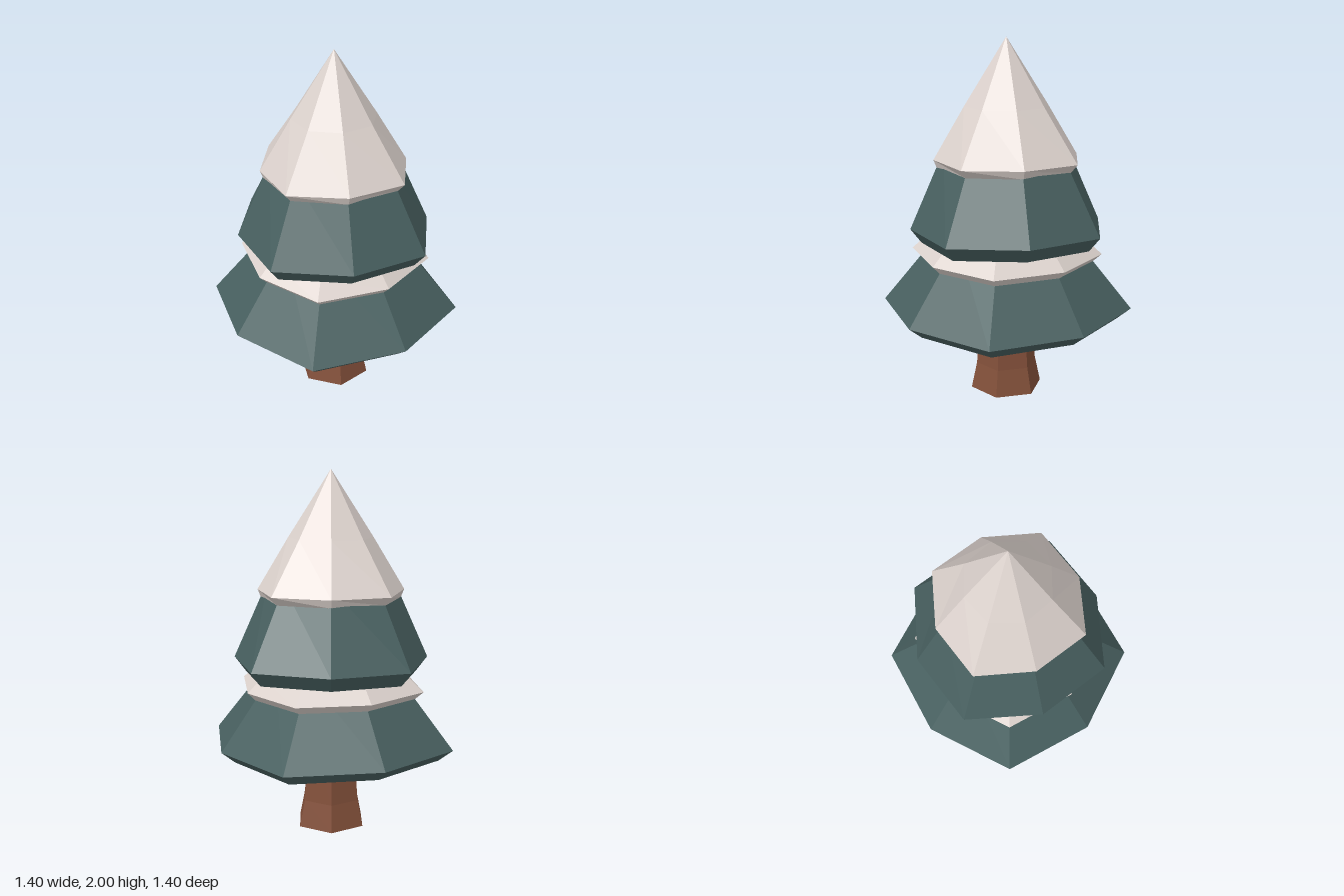
import * as THREE from 'three';

// Faceted solid from rings [y, radius, ratio of every second corner], bottom to top, closed at both ends.
function ringSolid(rings, sides, turnDegrees) {
  const turn = THREE.MathUtils.degToRad(turnDegrees);
  const corner = ([y, radius, ratio = 1], i) => {
    const a = turn + (i / sides) * Math.PI * 2;
    const r = (i % sides) % 2 ? radius * ratio : radius;
    return [r * Math.sin(a), y, r * Math.cos(a)];
  };
  const first = rings[0];
  const last = rings[rings.length - 1];
  const pos = [];
  for (let i = 0; i < sides; i++) {
    pos.push(0, first[0], 0, ...corner(first, i + 1), ...corner(first, i));
    for (let k = 0; k < rings.length - 1; k++) {
      const a = corner(rings[k], i);
      const b = corner(rings[k], i + 1);
      const c = corner(rings[k + 1], i + 1);
      const d = corner(rings[k + 1], i);
      pos.push(...a, ...b, ...d);
      if (rings[k + 1][1] > 0) pos.push(...b, ...c, ...d);
    }
    if (last[1] > 0) pos.push(0, last[0], 0, ...corner(last, i), ...corner(last, i + 1));
  }
  const geometry = new THREE.BufferGeometry();
  geometry.setAttribute('position', new THREE.Float32BufferAttribute(pos, 3));
  geometry.computeVertexNormals();
  return geometry;
}

function flatMaterial(name, color) {
  const material = new THREE.MeshStandardMaterial({ color, flatShading: true });
  material.name = name;
  return material;
}

export function createModel() {
  const tree = new THREE.Group();
  tree.name = 'snowyPineTree';

  const bark = flatMaterial('bark brown', 0x83503a);
  const needles = flatMaterial('needle green', 0x486060);
  const snow = flatMaterial('snow', 0xdcd2cd);

  const add = (name, material, sides, turn, rings) => {
    const mesh = new THREE.Mesh(ringSolid(rings, sides, turn), material);
    mesh.name = name;
    tree.add(mesh);
  };

  // Six-sided trunk, flared at the foot
  add('trunk', bark, 6, 30, [[0, 0.205], [0.15, 0.173], [0.5, 0.145]]);

  // Wide lower branches and the snow lying on them
  add('lowerBranches', needles, 8, 9,
    [[0.43, 0.627, 0.92], [0.495, 0.708, 0.925], [0.93, 0.357, 0.93]]);
  add('lowerSnow', snow, 8, 9,
    [[0.765, 0.486, 0.93], [0.81, 0.537, 0.925], [0.89, 0.447, 0.93], [0.95, 0.38, 0.93]]);

  // Upper branches, turned the other way
  add('upperBranches', needles, 8, -16,
    [[0.89, 0.52, 0.92], [0.97, 0.585, 0.92], [1.4, 0.35, 0.99]]);

  // Pointed snow cap
  add('snowCap', snow, 8, -15.7,
    [[1.305, 0.402, 0.96], [1.35, 0.4415, 0.915], [1.635, 0.24, 0.97], [2, 0]]);

  return tree;
}
